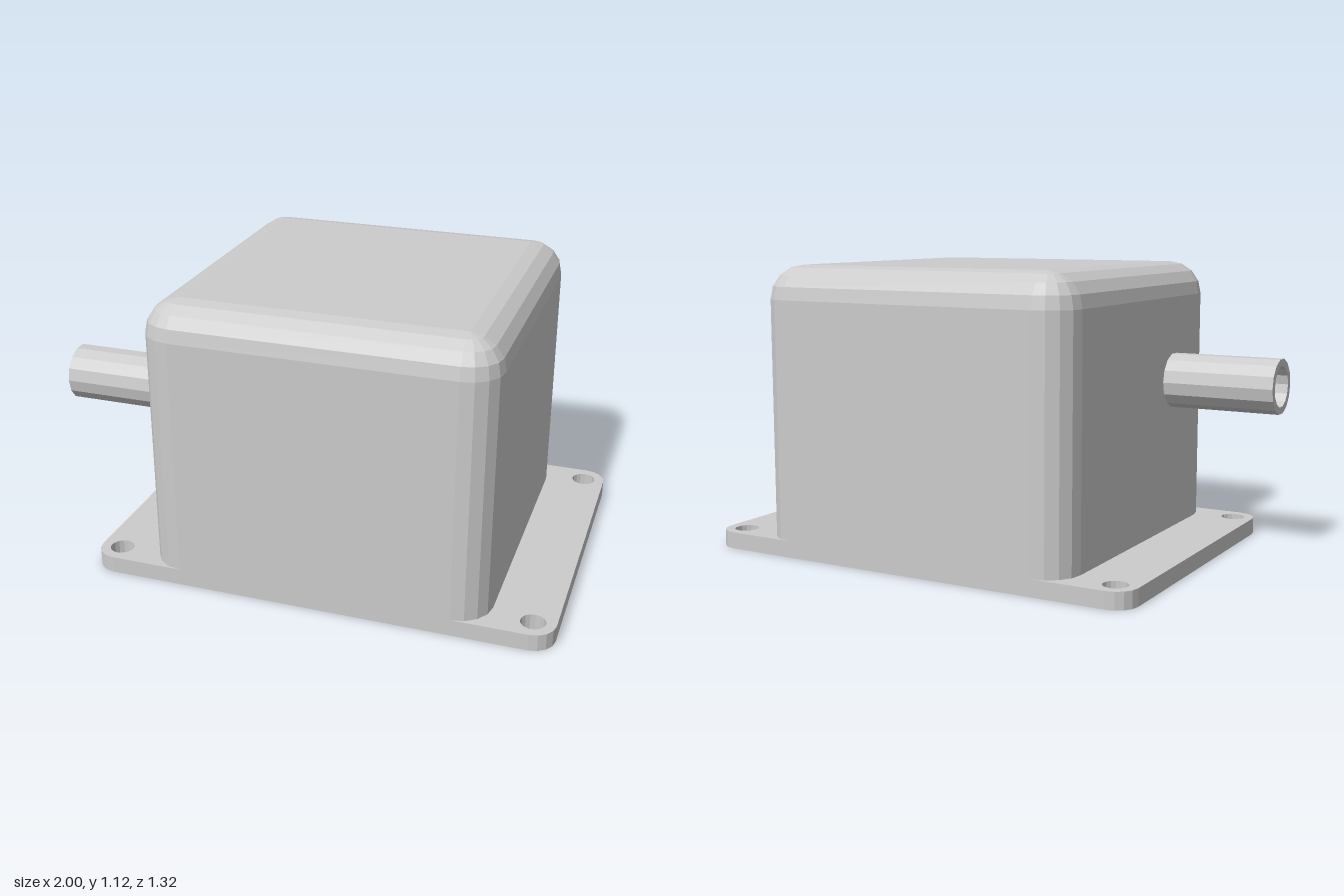
import * as THREE from 'three';

const material = new THREE.MeshStandardMaterial({ color: 0xcccccc, flatShading: true });

function addMesh(group, name, geometry) {
  const mesh = new THREE.Mesh(geometry, material);
  mesh.name = name;
  group.add(mesh);
}

// Counterclockwise outline: corner centres at (+-hx, +-hy), each rounded by radius r
function roundedOutline(hx, hy, r, steps = 4) {
  const points = [];
  [[1, 1], [-1, 1], [-1, -1], [1, -1]].forEach(([sx, sy], corner) => {
    for (let i = 0; i <= steps; i++) {
      const a = (corner + i / steps) * Math.PI / 2;
      points.push(new THREE.Vector2(sx * hx + r * Math.cos(a), sy * hy + r * Math.sin(a)));
    }
  });
  return points;
}

// Box with rounded upright edges and a rounded top rim, stacked from outline rings
function housingGeometry(half, bottom, top, r, steps = 4) {
  const levels = [[bottom, r]];
  for (let i = 0; i <= steps; i++) {
    const a = i / steps * Math.PI / 2;
    levels.push([top - r + r * Math.sin(a), Math.max(r * Math.cos(a), 0.0005)]);
  }
  const positions = [], index = [];
  let n = 0;
  for (const [y, radius] of levels) {
    const ring = roundedOutline(half - r, half - r, radius, steps);
    n = ring.length;
    for (const p of ring) positions.push(p.x, y, -p.y);
  }
  for (let l = 0; l < levels.length - 1; l++) {
    for (let i = 0; i < n; i++) {
      const a = l * n + i, b = l * n + (i + 1) % n;
      index.push(a, b, b + n, a, b + n, a + n);
    }
  }
  // Flat top
  const last = (levels.length - 1) * n;
  for (let i = 1; i < n - 1; i++) index.push(last, last + i, last + i + 1);

  const geometry = new THREE.BufferGeometry();
  geometry.setAttribute('position', new THREE.Float32BufferAttribute(positions, 3));
  geometry.setIndex(index);
  const flat = geometry.toNonIndexed();
  flat.computeVertexNormals();
  return flat;
}

export function createModel() {
  const group = new THREE.Group();
  const plateHeight = 0.065, centreX = 0.1;

  // Mounting plate with a screw hole in each corner
  const cornerX = 0.815, cornerZ = 0.575;
  const plate = new THREE.Shape(roundedOutline(cornerX, cornerZ, 0.085));
  for (const sx of [-1, 1]) {
    for (const sz of [-1, 1]) {
      const hole = new THREE.Path();
      hole.absarc(sx * cornerX, sz * cornerZ, 0.047, 0, Math.PI * 2, true);
      plate.holes.push(new THREE.Path(hole.getPoints(8)));
    }
  }
  const plateGeometry = new THREE.ExtrudeGeometry(plate, { depth: plateHeight, bevelEnabled: false });
  plateGeometry.rotateX(-Math.PI / 2).translate(centreX, 0, 0);
  addMesh(group, 'mountingPlate', plateGeometry);

  // Housing
  const housing = housingGeometry(0.66, plateHeight, 1.122, 0.13);
  housing.translate(centreX, 0, 0);
  addMesh(group, 'housing', housing);

  // Side pipe with a recessed bore at its open end
  const profile = [[0.108, 0.55], [0.108, 1], [0.08, 1], [0.08, 0.94], [0, 0.94]];
  const pipe = new THREE.LatheGeometry(profile.map(([r, y]) => new THREE.Vector2(r, y)), 14);
  pipe.rotateZ(Math.PI / 2).translate(0, 0.663, 0.285);
  addMesh(group, 'sidePipe', pipe);

  return group;
}
